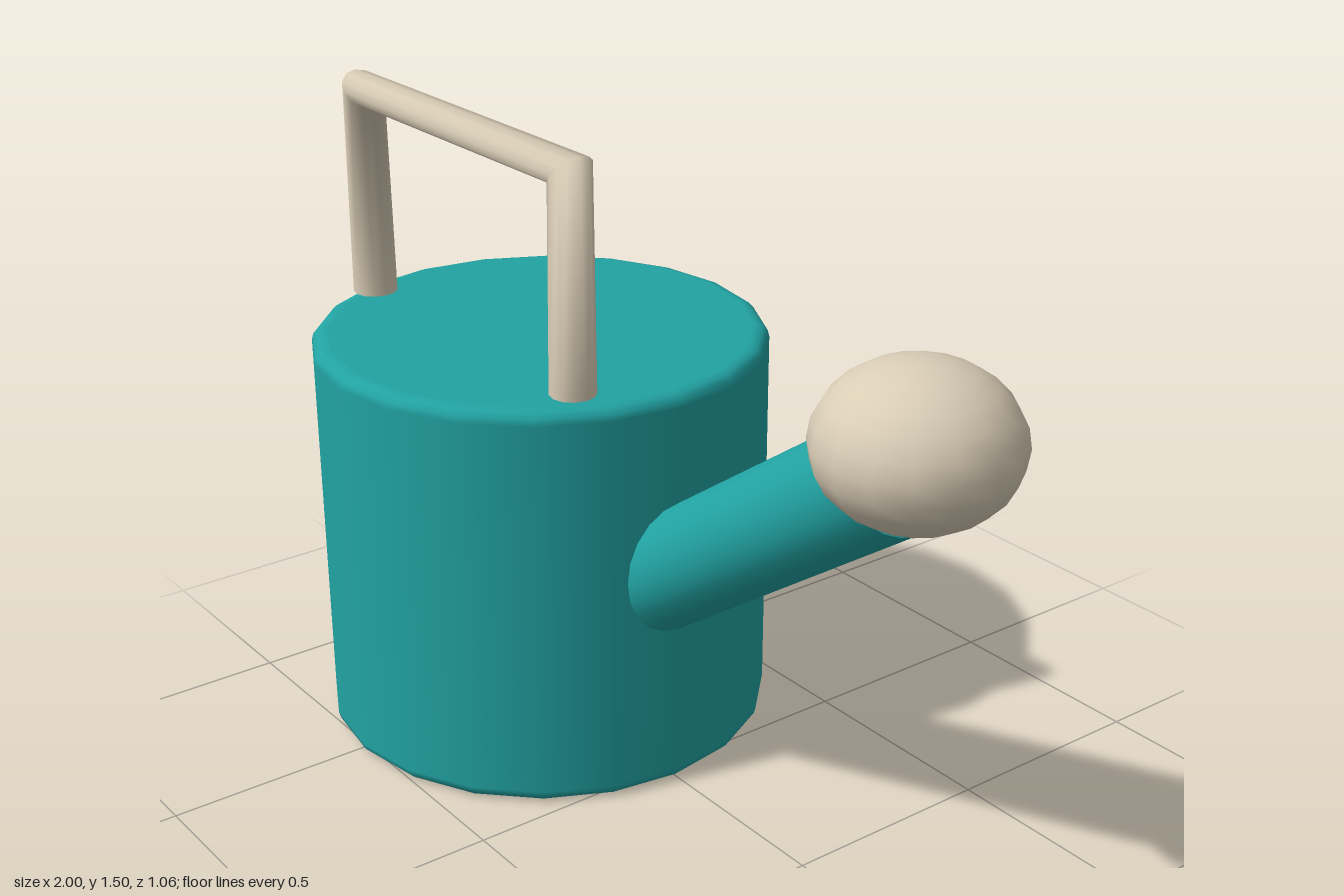
import * as THREE from 'three';
import { mergeVertices } from 'three/addons/utils/BufferGeometryUtils.js';

export function createModel() {
  const group = new THREE.Group();
  group.name = 'wateringCan';

  const teal = new THREE.MeshStandardMaterial({ color: 0x22a3a3 });
  teal.name = 'teal';
  const cream = new THREE.MeshStandardMaterial({ color: 0xd9cdb6 });
  cream.name = 'cream';

  const add = (name, geometry, material, x = 0, y = 0, z = 0) => {
    const mesh = new THREE.Mesh(geometry, material);
    mesh.name = name;
    mesh.position.set(x, y, z);
    group.add(mesh);
    return mesh;
  };

  // Closed drum with small rounded rims
  const R = 0.53, H = 0.96, bevel = 0.03;
  const profile = [new THREE.Vector2(0, 0), new THREE.Vector2(R - bevel - 0.01, 0)];
  for (const [cy, start] of [[bevel, -Math.PI / 2], [H - bevel, 0]]) {
    for (let i = 0; i <= 3; i++) {
      const a = start + (i / 3) * Math.PI / 2;
      profile.push(new THREE.Vector2(R - bevel + bevel * Math.cos(a), cy + bevel * Math.sin(a)));
    }
  }
  profile.push(new THREE.Vector2(R - bevel - 0.01, H), new THREE.Vector2(0, H));
  add('body', new THREE.LatheGeometry(profile, 20), teal, -0.47);

  // Slanted spout, from inside the drum to inside the rose
  const from = new THREE.Vector3(-0.08, 0.452, 0);
  const to = new THREE.Vector3(0.725, 1.018, 0);
  const axis = to.clone().sub(from);
  const mid = from.clone().add(to).multiplyScalar(0.5);
  const spout = add('spout', new THREE.CylinderGeometry(0.128, 0.128, axis.length(), 20), teal, mid.x, mid.y, 0);
  spout.quaternion.setFromUnitVectors(new THREE.Vector3(0, 1, 0), axis.normalize());

  // Flattened ball at the end of the spout
  const rose = add('rose', new THREE.SphereGeometry(0.21, 16, 12), cream, 0.787, 1.1, 0);
  rose.scale.y = 0.8;

  // Handle: a rod bent along four stations, its section turned halfway at each corner
  const stations = [
    [-0.892, 0.97, 90], [-0.895, 1.461, 45],
    [-0.062, 1.461, -45], [-0.065, 0.97, -90],
  ];
  let rod = new THREE.CylinderGeometry(0.052, 0.052, 1, 12, 3);
  const pos = rod.attributes.position;
  rod.deleteAttribute('uv');
  rod = mergeVertices(rod);
  const p = rod.attributes.position;
  for (let i = 0; i < p.count; i++) {
    const [cx, cy, deg] = stations[Math.round((p.getY(i) + 0.5) * 3)];
    const a = THREE.MathUtils.degToRad(deg), off = p.getX(i);
    p.setXYZ(i, cx + off * Math.sin(a), cy - off * Math.cos(a), p.getZ(i));
  }
  rod.computeVertexNormals();
  add('handle', rod, cream, 0, 0, 0.192);

  return group;
}
